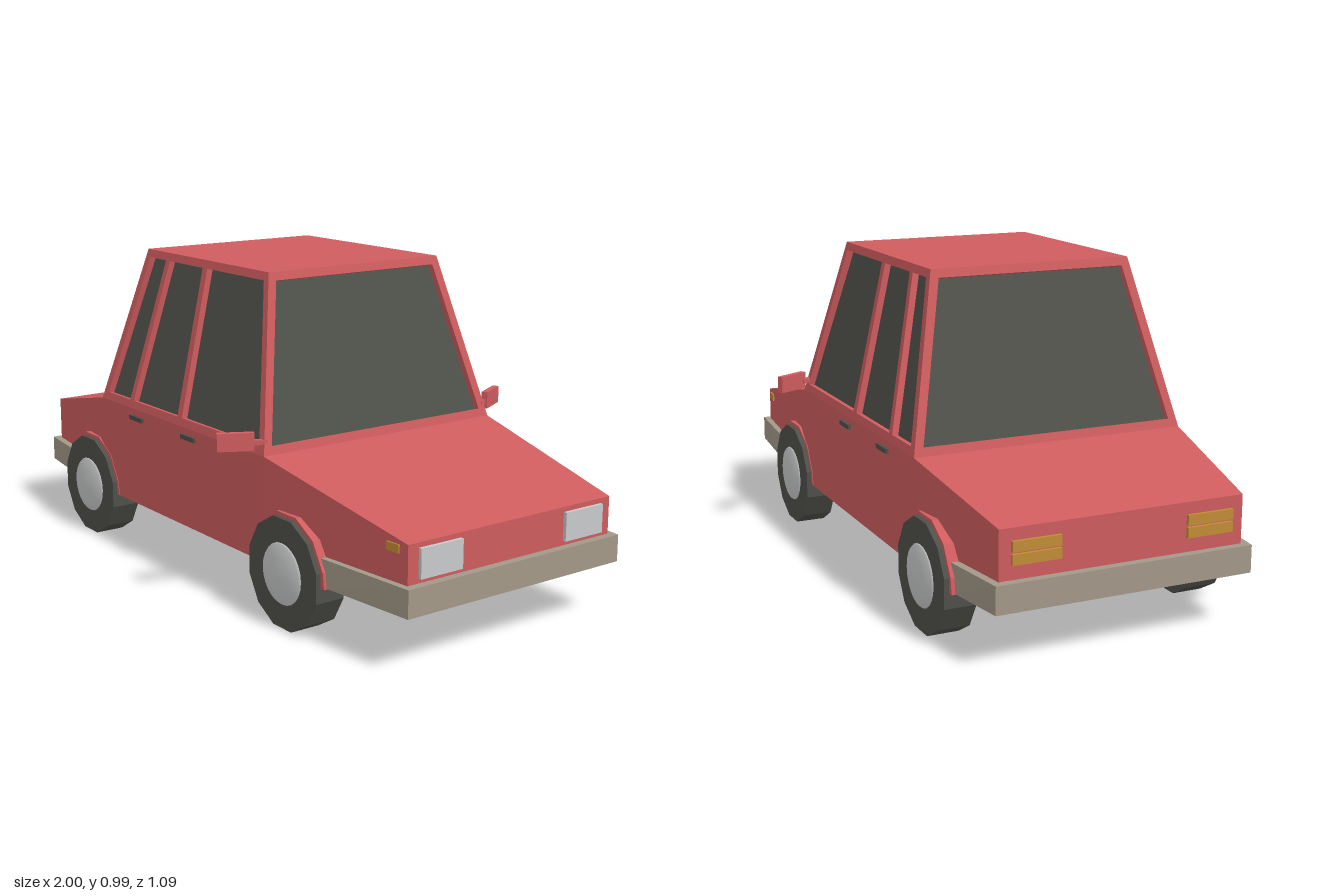
import * as THREE from 'three';
import { ConvexGeometry } from 'three/addons/geometries/ConvexGeometry.js';

const mat = (name, color) => {
  const m = new THREE.MeshStandardMaterial({ color });
  m.name = name;
  return m;
};

export function createModel() {
  const car = new THREE.Group();
  car.name = 'car';
  const red = mat('red paint', 0xce5c5e);
  const glass = mat('dark glass', 0x50524b);
  const rubber = mat('rubber', 0x4e4f49);
  const beige = mat('bumper beige', 0xa39888);
  const silver = mat('light grey', 0xc8c9ca);
  const amber = mat('amber', 0xc08c36);

  const add = (name, geo, material, parent = car) => {
    const m = new THREE.Mesh(geo, material);
    m.name = name;
    parent.add(m);
    return m;
  };
  const box = (name, w, h, d, material, x, y, z) => {
    const m = add(name, new THREE.BoxGeometry(w, h, d), material);
    m.position.set(x, y, z);
    return m;
  };
  // Faceted solid from points given as [x, y, halfWidth], mirrored across z
  const hull = (pts) => new ConvexGeometry(pts.flatMap(([x, y, z]) =>
    [new THREE.Vector3(x, y, z), new THREE.Vector3(x, y, -z)]));
  const flat = (geo) => {
    const g = geo.toNonIndexed();
    g.computeVertexNormals();
    return g;
  };

  // Lower body: sloping trunk, straight middle, sloping hood
  const sections = [[-0.975, 0.39, 0.375], [-0.55, 0.48, 0.432], [0.4, 0.48, 0.432], [0.975, 0.36, 0.377]];
  add('body', hull(sections.flatMap(([x, y, z]) => [[x, y, z], [x, 0.163, z]])), red);

  // Bumpers wrapping round to the wheel arches
  const bumper = (name, s, inner) => add(name, hull([
    [s, 0.166, 0.395], [s, 0.247, 0.395],
    [s * (inner + 0.012), 0.166, 0.425], [s * (inner - 0.012), 0.247, 0.425],
  ]), beige);
  bumper('frontBumper', 1, 0.675);
  bumper('rearBumper', -1, 0.785);

  // Cabin: glass core inside four pierced frames and a roof panel
  const y0 = 0.48, y1 = 0.985;
  add('cabinGlass', hull([
    [-0.53, y0, 0.41], [0.38, y0, 0.41], [-0.396, 0.967, 0.301], [0.246, 0.967, 0.301],
  ]), glass);

  // Corners run anticlockwise from outside; holes are [distance along u, height]
  const panel = (name, corners, holes) => {
    const [a, b, , d] = corners;
    const u = b.clone().sub(a).normalize();
    const n = u.clone().cross(d.clone().sub(a)).normalize();
    const v = n.clone().cross(u);
    const shape = new THREE.Shape(corners.map((p) => {
      const r = p.clone().sub(a);
      return new THREE.Vector2(r.dot(u), r.dot(v));
    }));
    holes.forEach((h) => shape.holes.push(new THREE.Path(h.map(([s, y]) =>
      new THREE.Vector2(s - a.dot(u), (y - a.y) / v.y)))));
    const g = new THREE.ExtrudeGeometry(shape, { depth: 0.02, bevelEnabled: false });
    g.translate(0, 0, -0.02);
    g.applyMatrix4(new THREE.Matrix4().makeBasis(u, v, n).setPosition(a));
    add(name, g, red);
  };
  const V = (x, y, z) => new THREE.Vector3(x, y, z);
  const base = [V(-0.55, y0, 0.432), V(0.4, y0, 0.432), V(0.4, y0, -0.432), V(-0.55, y0, -0.432)];
  const top = [V(-0.415, y1, 0.32), V(0.267, y1, 0.32), V(0.267, y1, -0.32), V(-0.415, y1, -0.32)];
  const lo = 0.505, hi = 0.96;
  // Window openings: x at bottom left, bottom right, top right, top left
  const sideWindows = [
    [-0.515, -0.373, -0.297, -0.395],
    [-0.35, -0.08, -0.08, -0.274],
    [-0.054, 0.368, 0.25, -0.054],
  ].map(([p, q, r, s]) => [[p, lo], [q, lo], [r, hi], [s, hi]]);
  const mirrored = sideWindows.map((h) => h.map(([x, y]) => [-x, y]));
  const screen = [[[-0.4, lo], [0.4, lo], [0.298, hi], [-0.298, hi]]];
  const names = ['rightSideFrame', 'windshieldFrame', 'leftSideFrame', 'rearWindowFrame'];
  [sideWindows, screen, mirrored, screen].forEach((holes, i) => {
    const j = (i + 1) % 4;
    panel(names[i], [base[i], base[j], top[j], top[i]], holes);
  });
  panel('roof', top, []);

  // Wheels, hubcaps and arches
  const tireR = 0.163, toVertex = 1 / Math.cos(Math.PI / 12);
  const tireGeo = flat(new THREE.CylinderGeometry(tireR * toVertex, tireR * toVertex, 0.096, 12)
    .rotateY(Math.PI / 12).rotateX(Math.PI / 2));
  const hubGeo = new THREE.LatheGeometry(
    [[0.092, 0], [0.088, 0.005], [0.05, 0.014], [0, 0.017]].map(([r, y]) => new THREE.Vector2(r, y)), 24)
    .rotateX(Math.PI / 2);
  const archR = 0.173 * toVertex;
  const archPts = [[archR, 0], ...Array.from({ length: 6 }, (_, i) => {
    const t = (15 + 30 * i) * Math.PI / 180;
    return [archR * Math.cos(t), archR * Math.sin(t)];
  }), [-archR, 0]];
  const archGeo = new THREE.ExtrudeGeometry(
    new THREE.Shape(archPts.map(([x, y]) => new THREE.Vector2(x, y))),
    { depth: 0.868, bevelEnabled: false }).translate(0, 0, -0.434);
  for (const [end, x] of [['front', 0.51], ['rear', -0.63]]) {
    add(end + 'WheelArches', archGeo, red).position.set(x, 0.164, 0);
    for (const s of [1, -1]) {
      const wheel = new THREE.Group();
      wheel.name = end + (s > 0 ? 'RightWheel' : 'LeftWheel');
      wheel.position.set(x, tireR, s * 0.401);
      wheel.rotation.y = s > 0 ? 0 : Math.PI;
      car.add(wheel);
      add('tire', tireGeo, rubber, wheel);
      add('hubcap', hubGeo, silver, wheel).position.z = 0.048;
    }
  }

  // Lights, handles and mirrors on both sides
  for (const s of [1, -1]) {
    box('headlight', 0.012, 0.085, 0.147, silver, 0.98, 0.303, s * 0.267);
    for (const y of [0.304, 0.34]) box('tailLight', 0.012, 0.03, 0.145, amber, -0.979, y, s * 0.267);
    const marker = box('sideMarker', 0.045, 0.024, 0.008, amber, 0.922, 0.342, s * 0.383);
    marker.rotation.y = s * 0.096;
    for (const x of [-0.318, -0.005]) box('doorHandle', 0.078, 0.014, 0.014, rubber, x, 0.452, s * 0.434);
    const arm = box('mirrorArm', 0.018, 0.014, 0.05, red, 0.372, 0.518, s * 0.432);
    arm.rotation.y = -s * 0.5;
    const mirror = box('mirror', 0.02, 0.053, 0.108, red, 0.345, 0.522, s * 0.493);
    mirror.rotation.y = -s * 0.48;
  }
  return car;
}
